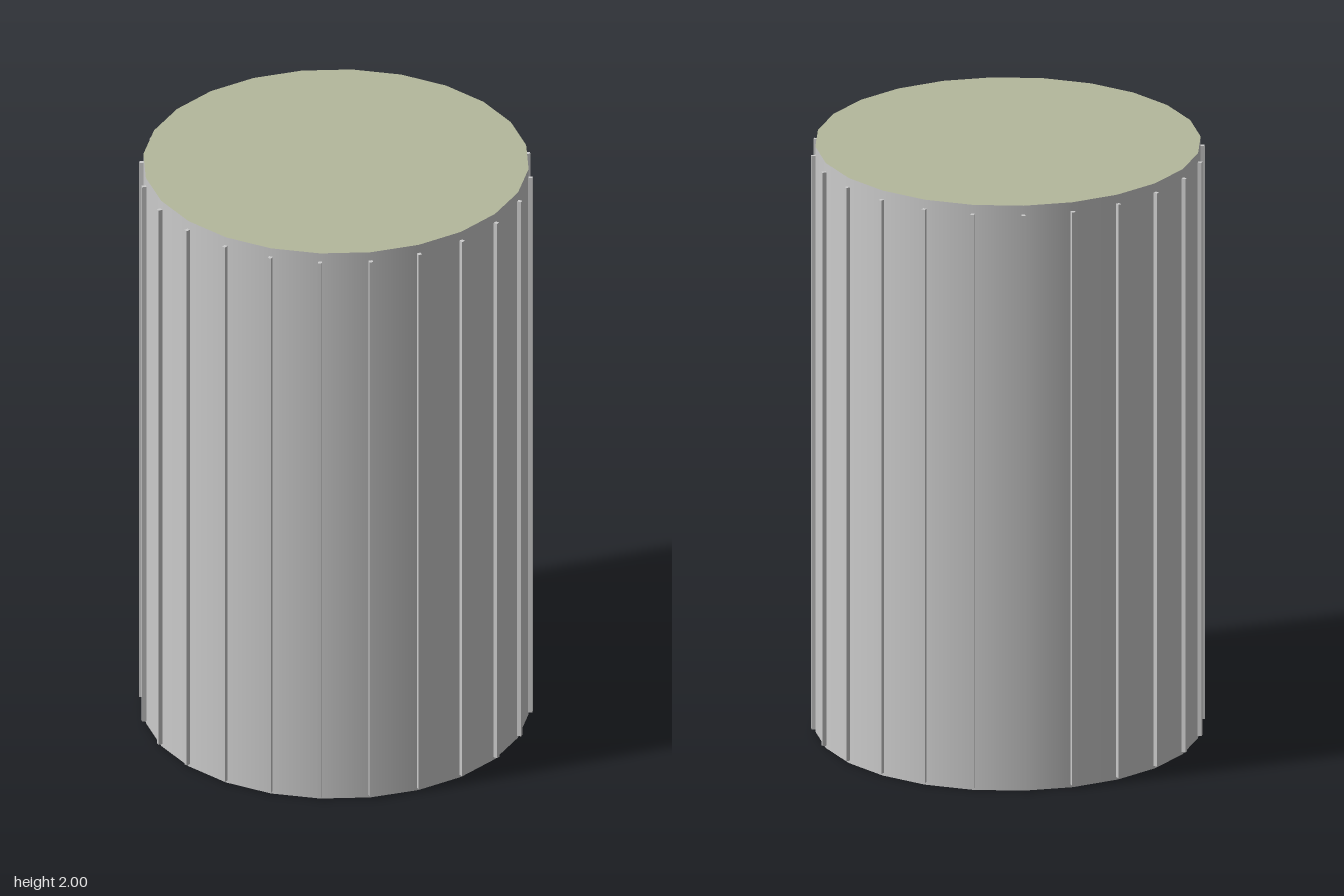
import * as THREE from 'three';

const SIDES = 24, RADIUS = 0.623, WALL = 0.008, HEIGHT = 2;

export function createModel() {
  const model = new THREE.Group();
  const grey = new THREE.MeshStandardMaterial({ color: 0xcccccc });
  const inside = new THREE.MeshStandardMaterial({ color: 0xcccccc, side: THREE.BackSide });
  const olive = new THREE.MeshStandardMaterial({ color: 0xb4b89c, side: THREE.DoubleSide });

  const add = (name, geometry, material, parent = model) => {
    const mesh = new THREE.Mesh(geometry, material);
    mesh.name = name;
    parent.add(mesh);
    return mesh;
  };

  // Thin tubular wall, open at the bottom
  const tube = (r) => new THREE.CylinderGeometry(r, r, HEIGHT, SIDES, 1, true).translate(0, HEIGHT / 2, 0);
  add('outerWall', tube(RADIUS), grey);
  add('innerWall', tube(RADIUS - WALL), inside);
  add('bottomRim', new THREE.RingGeometry(RADIUS - WALL, RADIUS, SIDES).rotateX(Math.PI / 2), grey);

  // Flat coloured top
  const top = add('topDisc', new THREE.CircleGeometry(RADIUS, SIDES).rotateX(-Math.PI / 2), olive);
  top.position.y = HEIGHT;

  // Slim vertical ribs, one on every corner of the wall
  const ribs = new THREE.Group();
  ribs.name = 'ribs';
  model.add(ribs);
  const ribGeometry = new THREE.BoxGeometry(0.012, 1.96, 0.018).translate(0, 0.99, RADIUS + 0.004);
  for (let i = 0; i < SIDES; i++) {
    add('rib', ribGeometry, grey, ribs).rotation.y = (i / SIDES) * Math.PI * 2;
  }
  return model;
}
